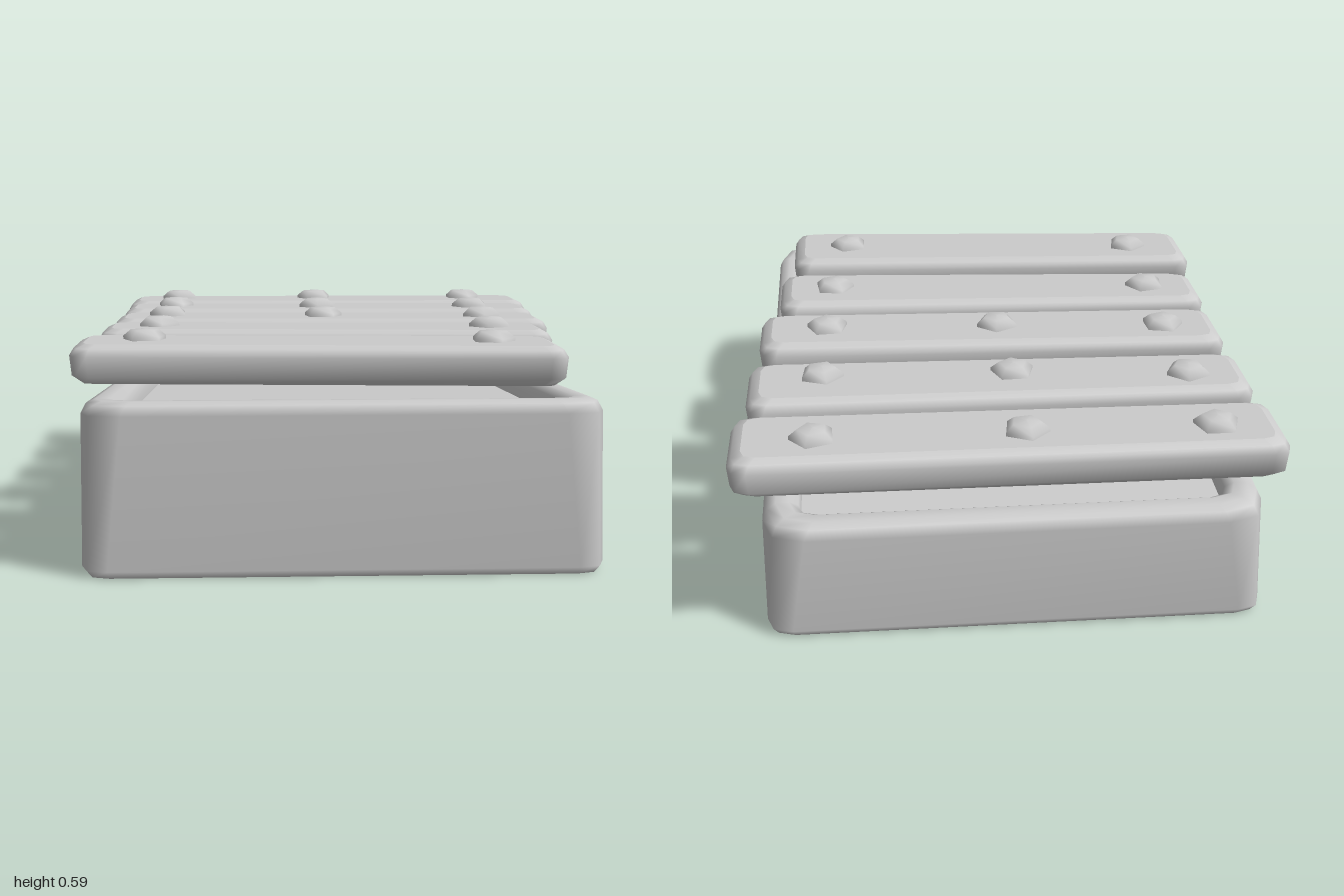
import * as THREE from 'three';

const material = new THREE.MeshStandardMaterial({ color: 0xcccccc });

// Outline of a quad [frontLeft, frontRight, backRight, backLeft] in x/z, inset and with rounded corners.
function outline(quad, inset, radius) {
  const c = quad.map(([x, z], i) => new THREE.Vector2(
    x + (i === 0 || i === 3 ? inset : -inset),
    z + (i < 2 ? -inset : inset)));
  return c.flatMap((p, i) => {
    const toward = q => q.clone().sub(p).setLength(radius).add(p);
    const a = toward(c[(i + 3) % 4]);
    const b = toward(c[(i + 1) % 4]);
    const mid = a.clone().add(b).addScaledVector(p, 2).multiplyScalar(0.25);
    return [a, mid, b];
  });
}

// Skin a list of levels { inset, radius, y(z) } from the underside up, with a cap at each end.
function loft(quad, levels) {
  const pos = [], index = [], n = 12;
  const addRing = ({ inset, radius, y }) => {
    for (const p of outline(quad, inset, radius)) pos.push(p.x, y(p.y), p.y);
  };
  levels.forEach(addRing);
  for (let k = 0; k < levels.length - 1; k++) {
    for (let i = 0; i < n; i++) {
      const a = k * n + i, b = k * n + (i + 1) % n;
      index.push(a, b, b + n, a, b + n, a + n);
    }
  }
  const cx = quad.reduce((s, p) => s + p[0], 0) / 4;
  const cz = quad.reduce((s, p) => s + p[1], 0) / 4;
  for (const [level, up] of [[levels[0], false], [levels[levels.length - 1], true]]) {
    const start = pos.length / 3;
    addRing(level);
    pos.push(cx, level.y(cz), cz);
    for (let i = 0; i < n; i++) {
      const a = start + i, b = start + (i + 1) % n;
      index.push(start + n, up ? a : b, up ? b : a);
    }
  }
  const g = new THREE.BufferGeometry();
  g.setAttribute('position', new THREE.Float32BufferAttribute(pos, 3));
  g.setIndex(index);
  g.computeVertexNormals();
  return g;
}

function mesh(geometry, name) {
  const m = new THREE.Mesh(geometry, material);
  m.name = name;
  return m;
}

// Each bar: left end x, back z, front z; right end x, back z, front z; then screw positions.
const BARS = [
  { l: [-0.70, -1.0, -0.715], r: [0.73, -0.99, -0.69], screws: [[-0.525, -0.875], [-0.03, -0.865], [0.515, -0.86]] },
  { l: [-0.69, -0.66, -0.385], r: [0.70, -0.64, -0.345], screws: [[-0.52, -0.54], [-0.035, -0.49], [0.495, -0.47]] },
  { l: [-0.69, -0.31, -0.03], r: [0.68, -0.25, 0.03], screws: [[-0.52, -0.18], [-0.025, -0.135], [0.48, -0.115]] },
  { l: [-0.70, 0.02, 0.29], r: [0.63, 0.085, 0.385], screws: [[-0.53, 0.16], [0.46, 0.225]] },
  { l: [-0.735, 0.40, 0.705], r: [0.595, 0.48, 0.805], screws: [[-0.54, 0.55], [0.41, 0.63]] },
];

export function createModel() {
  const model = new THREE.Group();
  model.name = 'xylophone';

  // Sloping tray with a rounded rim and a shallow recess
  const top = drop => z => 0.386 + 0.065 * z - drop;
  const flat = y => () => y;
  const trayQuad = [[-0.68, 0.995], [0.66, 0.995], [0.66, -0.915], [-0.68, -0.915]];
  model.add(mesh(loft(trayQuad, [
    { inset: 0.015, radius: 0.06, y: flat(0) },
    { inset: 0, radius: 0.07, y: flat(0.02) },
    { inset: 0, radius: 0.11, y: top(0.035) },
    { inset: 0.012, radius: 0.11, y: top(0.01) },
    { inset: 0.035, radius: 0.1, y: top(0) },
    { inset: 0.07, radius: 0.07, y: top(0) },
    { inset: 0.095, radius: 0.05, y: top(0.015) },
    { inset: 0.1, radius: 0.045, y: top(0.06) },
  ]), 'tray'));

  // Tone bars, fanned slightly and shortening toward the front
  const screwProfile = [[0.062, -0.02], [0.062, 0.012], [0.04, 0.03], [0, 0.033]]
    .map(p => new THREE.Vector2(...p));
  const screwGeometry = new THREE.LatheGeometry(screwProfile, 5);
  BARS.forEach(({ l, r, screws }, i) => {
    const bar = new THREE.Group();
    bar.name = `bar${i + 1}`;
    const quad = [[l[0], l[2]], [r[0], r[2]], [r[0], r[1]], [l[0], l[1]]];
    bar.add(mesh(loft(quad, [
      { inset: 0.03, radius: 0.04, y: flat(0.455) },
      { inset: 0.005, radius: 0.05, y: flat(0.475) },
      { inset: 0, radius: 0.05, y: flat(0.53) },
      { inset: 0.012, radius: 0.045, y: flat(0.55) },
      { inset: 0.035, radius: 0.04, y: flat(0.561) },
    ]), 'toneBar'));

    // Five-sided screw heads
    screws.forEach(([x, z], j) => {
      const screw = mesh(screwGeometry, 'screwHead');
      screw.position.set(x, 0.558, z);
      screw.rotation.y = i * 0.5 + j * 0.8;
      bar.add(screw);
    });
    model.add(bar);
  });
  return model;
}
